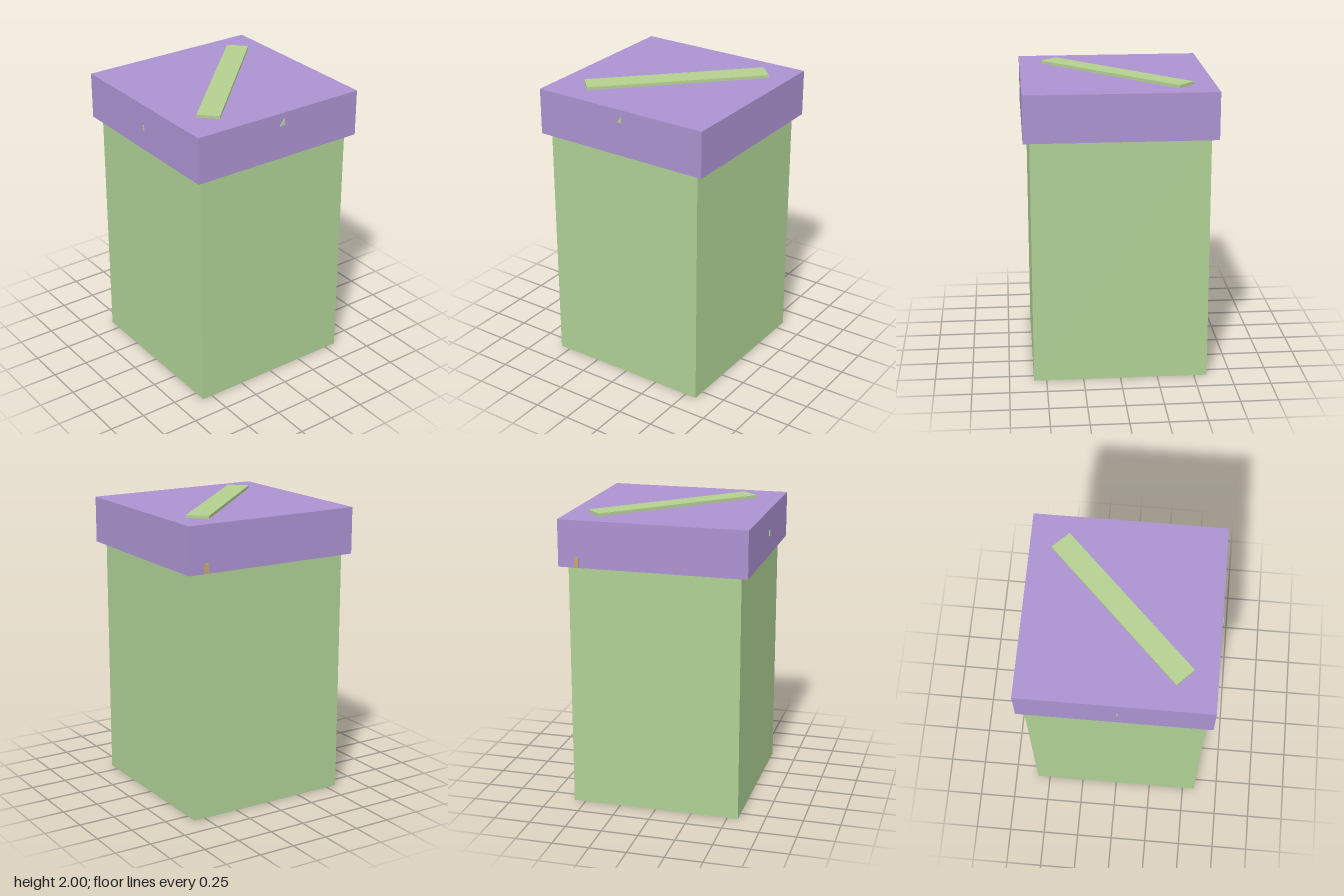
import * as THREE from 'three';

const material = (color) => new THREE.MeshStandardMaterial({ color, flatShading: true });

// Box given by its minimum and maximum corners
function block(name, [x0, y0, z0], [x1, y1, z1], mat) {
  const mesh = new THREE.Mesh(new THREE.BoxGeometry(x1 - x0, y1 - y0, z1 - z0), mat);
  mesh.name = name;
  mesh.position.set((x0 + x1) / 2, (y0 + y1) / 2, (z0 + z1) / 2);
  return mesh;
}

export function createModel() {
  const group = new THREE.Group();
  group.name = 'liddedBox';
  const green = material(0xaed094);
  const purple = material(0xab92d0);
  const paleGreen = material(0xb4cf90);
  const tan = material(0xc9a56a);

  // Tall body and overhanging lid
  group.add(block('body', [-0.588, 0, -0.58], [0.585, 1.67, 0.573], green));
  group.add(block('lid', [-0.631, 1.666, -0.635], [0.628, 1.98, 0.624], purple));

  // Diagonal strip on top of the lid
  const strip = block('strip', [-0.608, 1.97, -0.075], [0.608, 2, 0.075], paleGreen);
  strip.position.set(-0.007, 1.985, -0.024);
  strip.rotation.y = -Math.PI / 4;
  group.add(strip);

  // Small chips showing through the sides of the lid
  group.add(block('frontChip', [0.012, 1.8, 0.61], [0.02, 1.84, 0.63], paleGreen));
  group.add(block('leftEdgeChip', [-0.64, 1.67, -0.522], [-0.62, 1.735, -0.495], tan));
  const triangle = new THREE.Shape([
    new THREE.Vector2(0, 1.895), new THREE.Vector2(0.035, 1.895), new THREE.Vector2(0.035, 1.94),
  ]);
  const chip = new THREE.Mesh(
    new THREE.ExtrudeGeometry(triangle, { depth: 0.02, bevelEnabled: false }), paleGreen);
  chip.name = 'sideChip';
  chip.rotation.y = Math.PI / 2;
  chip.position.x = 0.614;
  group.add(chip);

  return group;
}
